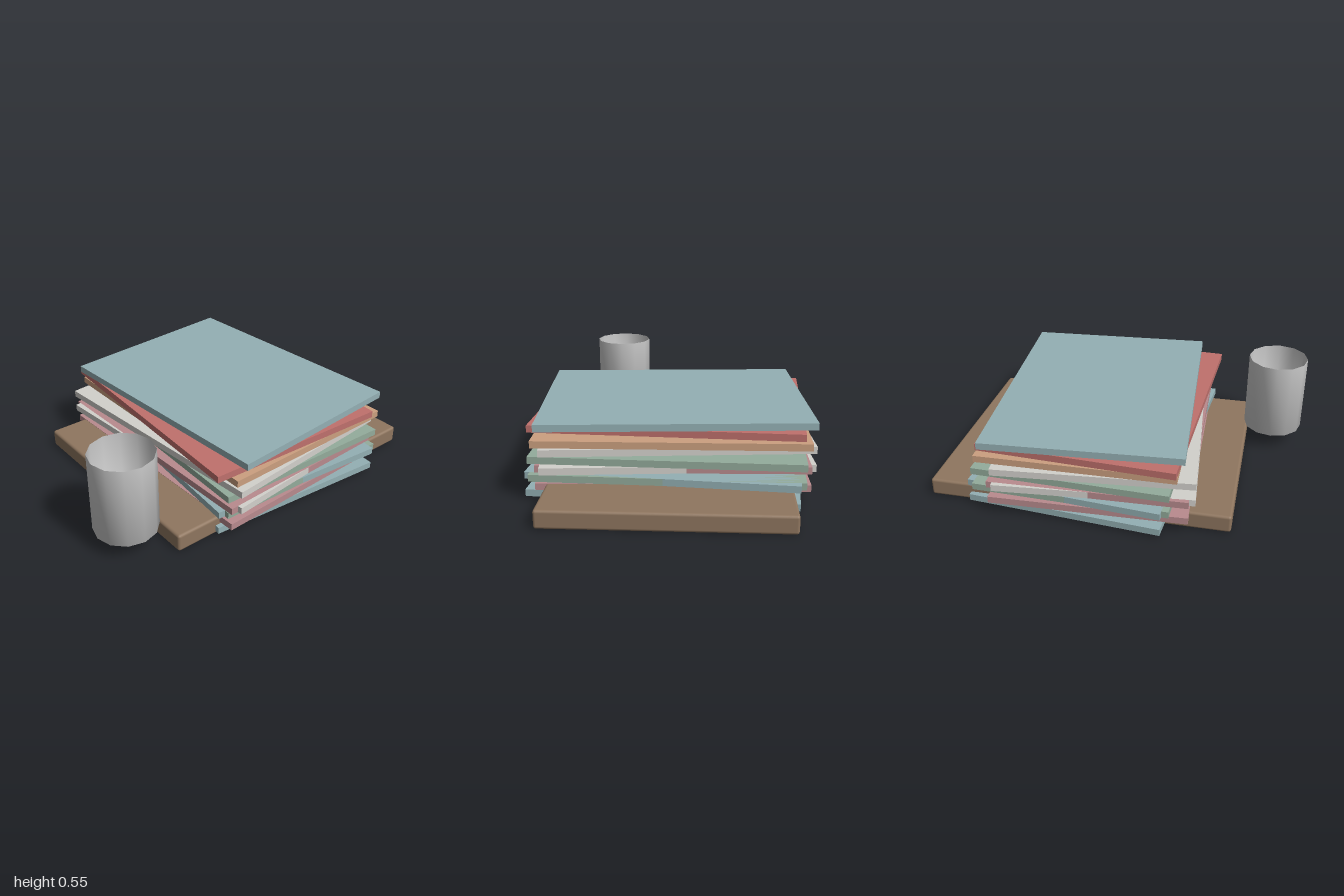
import * as THREE from 'three';
import { RoundedBoxGeometry } from 'three/addons/geometries/RoundedBoxGeometry.js';

const paint = (color) => new THREE.MeshStandardMaterial({ color });

export function createModel() {
  const model = new THREE.Group();

  // Wooden board with softly rounded edges
  const board = new THREE.Mesh(new RoundedBoxGeometry(1.67, 0.1, 1.28, 2, 0.015), paint(0x8f765f));
  board.name = 'board';
  board.position.set(0.158, 0.05, 0);
  model.add(board);

  // Books: each kind has a colour, a sideways offset and a twist
  const kinds = {
    tealLow: [0x94b0b4, 0.158, -0.085],
    pink: [0xb98b8e, 0.107, 0.033],
    green: [0x94ac9c, 0.158, -0.031],
    white: [0xd3d1cc, 0.11, 0.085],
    orange: [0xcca080, 0.158, 0.018],
    red: [0xc0716d, 0.11, -0.05],
    tealTop: [0x94b0b4, 0.16, 0.07],
  };
  const bookGeometry = new THREE.BoxGeometry(1.08, 0.038, 1.43);

  // Two stacks sharing the same spacing; the upper one starts two layers higher
  const stacks = [
    { name: 'lowerStack', start: 0, books: ['tealLow', 'pink', 'green', 'white'] },
    { name: 'upperStack', start: 2, books: ['tealLow', 'pink', 'green', 'white', 'orange', 'red', 'tealTop'] },
  ];
  for (const { name, start, books } of stacks) {
    const stack = new THREE.Group();
    stack.name = name;
    books.forEach((kind, i) => {
      const [color, x, twist] = kinds[kind];
      const book = new THREE.Mesh(bookGeometry, paint(color));
      book.name = `${kind}Book`;
      book.position.set(x, 0.0335 + (start + i) * 0.0494, 0);
      book.rotation.y = twist;
      stack.add(book);
    });
    model.add(stack);
  }

  // Open cup: thin twelve-sided wall with a floor, smoothly shaded
  const profile = [[0, 0], [0.172, 0], [0.172, 0.447]].map(([r, y]) => new THREE.Vector2(r, y));
  const cup = new THREE.Mesh(
    new THREE.LatheGeometry(profile, 12),
    new THREE.MeshStandardMaterial({ color: 0xcccccc, side: THREE.DoubleSide })
  );
  cup.name = 'cup';
  cup.position.set(-0.828, 0.1, 0.395);
  model.add(cup);

  return model;
}
